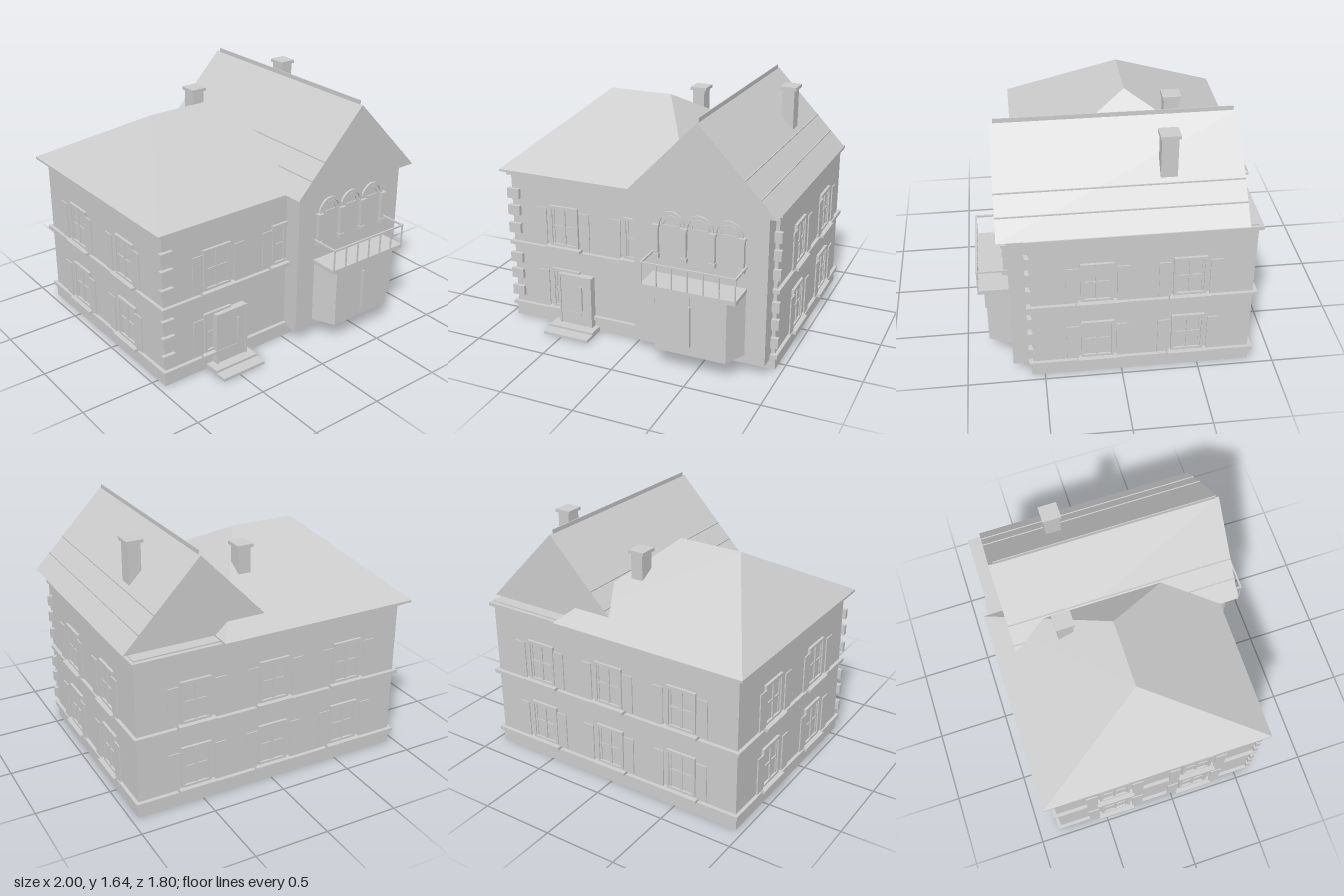
import * as THREE from 'three';

export function createModel() {
  const house = new THREE.Group();
  house.name = 'house';
  const plaster = new THREE.MeshStandardMaterial({ color: 0xcccccc });
  plaster.name = 'light grey';

  const add = (name, geometry, parent = house) => {
    const mesh = new THREE.Mesh(geometry, plaster);
    mesh.name = name;
    parent.add(mesh);
    return mesh;
  };
  // Box given by its minimum and maximum on each axis
  const box = (name, x0, x1, y0, y1, z0, z1, parent) => {
    const mesh = add(name, new THREE.BoxGeometry(x1 - x0, y1 - y0, z1 - z0), parent);
    mesh.position.set((x0 + x1) / 2, (y0 + y1) / 2, (z0 + z1) / 2);
    return mesh;
  };
  const polygon = (points) => new THREE.Shape(points.map(([x, y]) => new THREE.Vector2(x, y)));
  const extrude = (shape, depth) =>
    new THREE.ExtrudeGeometry(shape, { depth, bevelEnabled: false, curveSegments: 16 });

  // Main block, plinth and horizontal bands
  const W = 0.945, FRONT = 0.575, BACK = -0.835;
  box('plinth', -0.952, 0.952, 0, 0.085, -0.842, 0.582);
  box('mainWalls', -W, W, 0.08, 1.08, BACK, FRONT);
  for (const [y0, y1] of [[0.085, 0.11], [0.543, 0.567], [1.048, 1.072]]) {
    box('wallBand', -0.968, 0.968, y0, y1, -0.862, 0.6);
  }

  // Projecting gabled wing
  box('wingWalls', 0.025, 0.92, 0.08, 1.095, 0.3, 0.7);

  // Corner blocks on the front corners
  for (const s of [-1, 1]) {
    for (const y of [0.915, 0.795, 0.665, 0.445, 0.325, 0.195]) {
      const c = s * 0.925;
      box('cornerBlock', c - 0.045, c + 0.045, y - 0.035, y + 0.035, 0.57, 0.6);
    }
  }

  // Hipped roof over the left part
  const hip = [
    [-1, 1.09, 0.63], [0.38, 1.09, 0.63], [0.38, 1.09, -0.905], [-1, 1.09, -0.905],
    [-0.533, 1.515, -0.137], [-0.087, 1.515, -0.137],
  ];
  const faces = [[0, 1, 5], [0, 5, 4], [1, 2, 5], [2, 3, 4], [2, 4, 5], [3, 0, 4]];
  const hipGeometry = new THREE.BufferGeometry();
  hipGeometry.setAttribute('position',
    new THREE.Float32BufferAttribute(faces.flat().flatMap((i) => hip[i]), 3));
  hipGeometry.computeVertexNormals();
  add('hipRoof', hipGeometry);
  box('hipRoofEave', -1, 0.38, 1.075, 1.09, -0.905, 0.63);

  // Gable roof running front to back over the wing
  add('gableRoof', extrude(polygon([[-0.035, 1.09], [0.985, 1.09], [0.475, 1.62]]), 1.53))
    .position.z = -0.772;
  box('gableRidge', 0.472, 0.478, 1.6, 1.645, -0.742, 0.735);
  for (const s of [-1, 1]) {
    for (const y of [1.2, 1.305]) {
      const x = 0.475 + s * 0.51 * (1.62 - y) / 0.53;
      box('roofBatten', x - 0.004, x + 0.004, y - 0.004, y + 0.004, -0.772, 0.758);
    }
  }

  // Chimneys: shaft with an overhanging cap
  const chimney = (x, z, y0, y1) => {
    box('chimneyShaft', x - 0.042, x + 0.042, y0, y1 - 0.02, z - 0.052, z + 0.052);
    box('chimneyCap', x - 0.057, x + 0.057, y1 - 0.022, y1, z - 0.062, z + 0.062);
  };
  chimney(0.018, -0.435, 1.1, 1.515);
  chimney(0.71, -0.305, 1.3, 1.62);

  // Window with frame, cross bars, sill and a pair of shutters, facing +z
  const frameShape = polygon([[-0.105, 0], [0.105, 0], [0.105, 0.285], [-0.105, 0.285]]);
  frameShape.holes.push(polygon([[-0.088, 0.015], [-0.088, 0.265], [0.088, 0.265], [0.088, 0.015]]));
  const frameGeometry = extrude(frameShape, 0.018);
  const addWindow = (x, y, z, turn) => {
    const w = new THREE.Group();
    w.name = 'window';
    add('windowFrame', frameGeometry, w);
    for (const s of [-1, 1]) {
      const c = s * 0.045;
      box('sash', c - 0.041, c + 0.041, 0.015, 0.265, 0, 0.004, w);
      box('sashStile', s * 0.081 - 0.007, s * 0.081 + 0.007, 0.015, 0.265, 0, 0.01, w);
      box('shutter', s * 0.16 - 0.038, s * 0.16 + 0.038, 0.008, 0.268, 0.022, 0.03, w);
    }
    box('windowMullion', -0.009, 0.009, 0.015, 0.265, 0, 0.012, w);
    box('windowCrossbar', -0.088, 0.088, 0.134, 0.148, 0, 0.011, w);
    box('windowSill', -0.13, 0.13, -0.02, 0, 0, 0.05, w);
    w.position.set(x, y, z);
    w.rotation.y = turn;
    house.add(w);
  };
  for (const y of [0.13, 0.587]) {
    for (const z of [0.157, -0.425]) {
      addWindow(W, y, z, Math.PI / 2);
      addWindow(-W, y, z, -Math.PI / 2);
    }
    for (const x of [-0.55, 0, 0.55]) addWindow(x, y, BACK, Math.PI);
    addWindow(-0.545, y, FRONT, 0);
  }
  addWindow(0.005, 0.587, FRONT, 0);

  // Entrance door and steps
  box('doorCase', -0.58, -0.335, 0.03, 0.4, FRONT, 0.622);
  const doorFrame = polygon([[-0.58, 0.035], [-0.335, 0.035], [-0.335, 0.405], [-0.58, 0.405]]);
  doorFrame.holes.push(polygon([[-0.568, 0.035], [-0.568, 0.39], [-0.35, 0.39], [-0.35, 0.035]]));
  add('doorFrame', extrude(doorFrame, 0.008)).position.z = 0.622;
  box('doorHandle', -0.415, -0.405, 0.15, 0.33, 0.622, 0.636);
  box('lowerStep', -0.63, -0.3, 0, 0.02, 0.55, 0.77);
  box('upperStep', -0.63, -0.3, 0.02, 0.036, 0.55, 0.69);

  // Bay with slanted sides below the balcony
  const bay = extrude(polygon([[0.165, -0.69], [0.24, -0.85], [0.715, -0.85], [0.79, -0.69]].reverse()), 0.44);
  bay.rotateX(-Math.PI / 2);
  add('bay', bay).position.y = 0.13;
  box('bayDoorSplit', 0.4735, 0.4765, 0.13, 0.565, 0.848, 0.853);
  box('bayHandle', 0.469, 0.481, 0.195, 0.475, 0.85, 0.87);

  // Balcony with thin railing
  box('balconyFloor', 0.16, 0.79, 0.565, 0.592, 0.69, 0.898);
  box('frontRail', 0.16, 0.79, 0.73, 0.742, 0.888, 0.9);
  for (const x of [0.16, 0.778]) {
    box('sideRail', x, x + 0.012, 0.73, 0.742, 0.7, 0.9);
  }
  for (let i = 0; i <= 6; i++) {
    const x = 0.166 + i * 0.103;
    box('railPost', x - 0.004, x + 0.004, 0.59, 0.732, 0.89, 0.898);
  }

  // Three arched openings above the balcony
  const arch = (outer, inner) => {
    const s = new THREE.Shape();
    s.absarc(0, 0, outer, 0, Math.PI, false);
    s.absarc(0, 0, inner, Math.PI, 0, true);
    return s;
  };
  for (const x of [0.285, 0.475, 0.665]) {
    add('archMoulding', extrude(arch(0.095, 0.075), 0.015)).position.set(x, 0.925, 0.7);
    add('archLight', extrude(arch(0.067, 0.048), 0.008)).position.set(x, 0.925, 0.7);
    box('archTransom', x - 0.075, x + 0.075, 0.915, 0.927, 0.7, 0.708);
  }
  for (let i = 0; i < 4; i++) {
    const x = 0.19 + i * 0.19;
    box('archColumn', x - 0.014, x + 0.014, 0.7, 0.91, 0.7, 0.727);
    box('columnCapital', x - 0.022, x + 0.022, 0.91, 0.927, 0.7, 0.735);
    box('columnBase', x - 0.02, x + 0.02, 0.7, 0.73, 0.7, 0.735);
  }

  return house;
}
